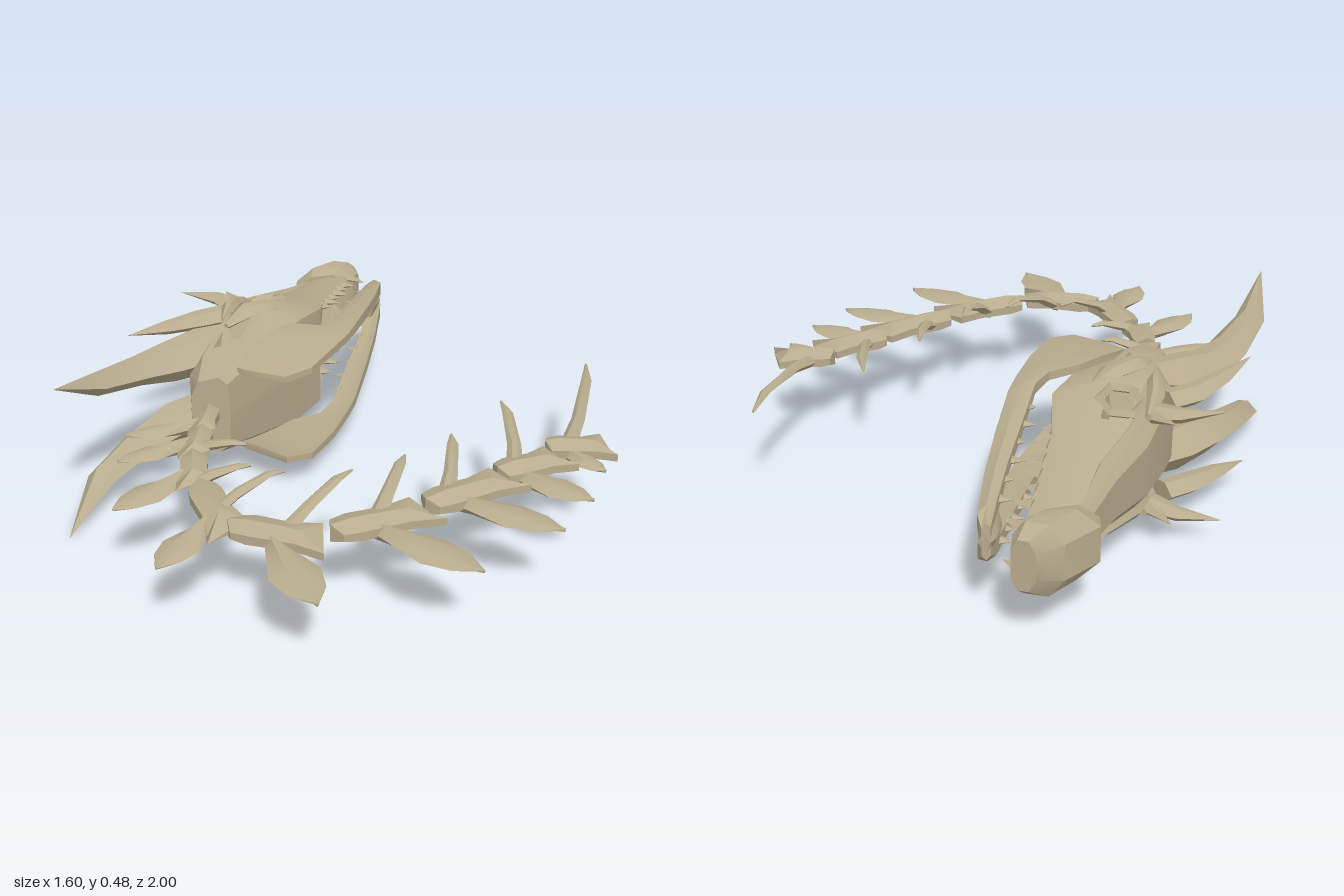
import * as THREE from 'three';
import { mergeGeometries, toCreasedNormals } from 'three/addons/utils/BufferGeometryUtils.js';

const MID = 0.24; // height of the symmetry plane: the skull lies on its side
const bone = new THREE.MeshStandardMaterial({ color: 0xb9ac8e, side: THREE.DoubleSide });
bone.name = 'bone';

// Turns a list of quads / triangles into a geometry with sharp creases
function fromFaces(faces) {
  const pos = [];
  for (const f of faces)
    for (let i = 1; i < f.length - 1; i++) pos.push(...f[0], ...f[i], ...f[i + 1]);
  const g = new THREE.BufferGeometry();
  g.setAttribute('position', new THREE.Float32BufferAttribute(pos, 3));
  return toCreasedNormals(g, 0.55);
}

// A framed opening sunk into a quad, toward the symmetry plane
function socket(q, inset, depth) {
  const c = [0, 1, 2].map(k => q.reduce((s, p) => s + p[k], 0) / 4);
  const rim = q.map(p => p.map((v, k) => c[k] + (v - c[k]) * inset));
  const floor = rim.map(p => [
    c[0] + (p[0] - c[0]) * 0.7, p[1] - Math.sign(p[1] - MID) * depth, c[2] + (p[2] - c[2]) * 0.7]);
  const out = [floor];
  for (let i = 0; i < 4; i++) {
    const j = (i + 1) % 4;
    out.push([q[i], q[j], rim[j], rim[i]], [rim[i], rim[j], floor[j], floor[i]]);
  }
  return out;
}

// Skins a row of closed rings and caps both ends; sockets replace chosen quads
function loft(rings, sockets = {}) {
  const faces = [], n = rings[0].length;
  for (let i = 0; i < rings.length - 1; i++)
    for (let k = 0; k < n; k++) {
      const j = (k + 1) % n;
      const q = [rings[i][k], rings[i][j], rings[i + 1][j], rings[i + 1][k]];
      const s = sockets[`${i},${k}`];
      if (s) faces.push(...socket(q, ...s));
      else faces.push(q);
    }
  faces.push([...rings[0]].reverse(), rings[rings.length - 1]);
  return fromFaces(faces);
}

// Tapered blade along [x, z, h, halfWidth, halfThickness]; h is measured from the symmetry plane
function blade(path, side = 1) {
  const rings = path.map(([x, z, h, w, t], i) => {
    const a = path[Math.max(0, i - 1)], b = path[Math.min(path.length - 1, i + 1)];
    const l = Math.hypot(b[0] - a[0], b[1] - a[1]);
    const nx = -(b[1] - a[1]) / l, nz = (b[0] - a[0]) / l;
    return [[1, 0], [0.3, 1], [-0.35, 0.9], [-1, 0], [-0.35, -0.9], [0.3, -1]].map(
      ([u, v]) => [x + nx * w * u, MID + side * (h + t * v), z + nz * w * u]);
  });
  return loft(rings);
}

// Blade between two points with a width profile; rise lifts it early, bow bends it sideways
function leaf([ax, az], [bx, bz], profile, thick, rise = 0, bow = 0) {
  return blade(profile.map(([s, w]) => {
    const k = bow * Math.sin(Math.PI * s);
    return [mix(ax, bx, s) - (bz - az) * k, mix(az, bz, s) + (bx - ax) * k,
      rise * Math.sin(2 * s), w, Math.max(0.001, thick * (1 - s * 0.8))];
  }));
}

// Mirror-symmetric ring from half points [x, z, h]
const mirrorRing = half => [
  ...half.map(([x, z, h]) => [x, MID + h, z]),
  ...[...half].reverse().map(([x, z, h]) => [x, MID - h, z])];
const mix = (a, b, t) => a + (b - a) * t;

export function createModel() {
  const model = new THREE.Group();
  model.name = 'dragonSkeleton';
  const skull = new THREE.Group(), tail = new THREE.Group();
  skull.name = 'skull';
  tail.name = 'spine';
  model.add(skull, tail);
  const add = (parent, name, geo) => {
    const m = new THREE.Mesh(geo, bone);
    m.name = name;
    parent.add(m);
    return m;
  };
  const pair = (name, path) => {
    add(skull, name + 'Upper', blade(path, 1));
    add(skull, name + 'Lower', blade(path, -1));
  };

  // Cranium: dorsal x,z, mouth x,z, half width, lower side row, palate row (hollow at the mouth)
  const stations = [
    [-0.06, -0.86, 0.095, -0.87, 0.08, 0.6, 0.6],
    [-0.155, -0.70, 0.045, -0.71, 0.11, 0.58, 0.6],
    [-0.265, -0.56, -0.01, -0.54, 0.15, 0.55, 0.65],
    [-0.35, -0.39, -0.03, -0.39, 0.2, 0.54, 1],
    [-0.395, -0.29, -0.10, -0.29, 0.21, 0.6, 1.03],
    [-0.445, -0.10, -0.23, -0.12, 0.165, 0.75, 1.05],
    [-0.44, 0.0, -0.33, 0.01, 0.125, 0.75, 1.05]];
  const skullRings = stations.map(([dx, dz, mx, mz, h, low, roof]) => mirrorRing(
    [[0, 0.5], [0.2, 0.88], [low, 1], [1, 0.82], [roof, 0.1]].map(
      ([t, f]) => [mix(dx, mx, t), mix(dz, mz, t), h * f])));
  const eye = [0.8, 0.07], temple = [0.66, 0.05];
  add(skull, 'cranium', loft(skullRings, { '2,1': eye, '2,7': eye, '4,1': temple, '4,7': temple }));

  // Raised rims around the eye sockets
  for (const s of [1, -1]) {
    const rim = add(skull, s > 0 ? 'eyeRimUpper' : 'eyeRimLower',
      toCreasedNormals(new THREE.TorusGeometry(0.06, 0.015, 4, 6), 0.5));
    rim.position.set(-0.208, MID + s * 0.167, -0.462);
    rim.quaternion.setFromUnitVectors(
      new THREE.Vector3(0, 0, 1), new THREE.Vector3(-0.1, s, -0.3).normalize());
  }

  // Snout tip
  const noseRings = [
    [-0.085, -0.85, 0.09, -0.88, 0.085], [-0.08, -0.91, 0.12, -0.905, 0.1],
    [0.02, -0.985, 0.14, -0.94, 0.1], [0.09, -1.0, 0.148, -0.975, 0.07]
  ].map(([dx, dz, mx, mz, h]) => mirrorRing([[0, 0.5], [0.3, 1], [0.75, 1], [1, 0.6]].map(
    ([t, f]) => [mix(dx, mx, t), mix(dz, mz, t), h * f])));
  add(skull, 'snoutTip', loft(noseRings));

  // Ridges, brows and cheeks
  pair('snoutRidge', [[-0.04, -0.85, 0.06, 0.012, 0.01], [-0.12, -0.70, 0.09, 0.022, 0.018],
    [-0.24, -0.54, 0.13, 0.02, 0.02], [-0.30, -0.44, 0.15, 0.004, 0.005]]);
  pair('brow', [[-0.27, -0.53, 0.145, 0.01, 0.01], [-0.305, -0.45, 0.17, 0.025, 0.02],
    [-0.32, -0.38, 0.185, 0.025, 0.02], [-0.34, -0.30, 0.175, 0.006, 0.01]]);
  pair('cheekBoss', [[-0.13, -0.40, 0.175, 0.01, 0.01], [-0.20, -0.345, 0.2, 0.04, 0.02],
    [-0.27, -0.30, 0.203, 0.045, 0.02], [-0.33, -0.24, 0.18, 0.01, 0.01]]);

  // Horns and spikes, longest at the back
  pair('mainHorn', [[-0.33, -0.25, 0.13, 0.05, 0.05], [-0.42, -0.205, 0.11, 0.085, 0.07],
    [-0.51, -0.15, 0.105, 0.078, 0.06], [-0.605, -0.055, 0.122, 0.064, 0.042],
    [-0.715, 0.095, 0.155, 0.046, 0.032], [-0.797, 0.28, 0.239, 0.001, 0.001]]);
  pair('middleHorn', [[-0.34, -0.42, 0.14, 0.05, 0.03], [-0.42, -0.385, 0.14, 0.05, 0.028],
    [-0.52, -0.31, 0.15, 0.034, 0.02], [-0.63, -0.22, 0.168, 0.001, 0.001]]);
  pair('browSpike', [[-0.30, -0.49, 0.14, 0.05, 0.025], [-0.36, -0.535, 0.15, 0.03, 0.02],
    [-0.475, -0.56, 0.165, 0.001, 0.001]]);
  pair('smallSpike', [[-0.29, -0.51, 0.14, 0.03, 0.02], [-0.33, -0.59, 0.15, 0.001, 0.001]]);

  // Lower jaw sides, open between: wide rear flange narrowing to the chin
  // inner x,z,h, outer x,z,h, half thickness
  const jaw = [
    [-0.30, -0.04, 0.125, -0.25, 0.005, 0.12, 0.008],
    [-0.27, -0.12, 0.155, -0.16, 0.058, 0.135, 0.01],
    [-0.2, -0.19, 0.17, -0.08, 0.02, 0.145, 0.01],
    [-0.13, -0.245, 0.17, -0.005, -0.11, 0.145, 0.012],
    [-0.04, -0.255, 0.155, 0.05, -0.23, 0.135, 0.013],
    [0.005, -0.31, 0.145, 0.08, -0.31, 0.13, 0.015],
    [0.06, -0.48, 0.115, 0.135, -0.5, 0.1, 0.018],
    [0.12, -0.66, 0.087, 0.182, -0.68, 0.072, 0.018],
    [0.165, -0.81, 0.052, 0.215, -0.84, 0.042, 0.022],
    [0.185, -0.868, 0.02, 0.208, -0.868, 0.02, 0.02]];
  for (const s of [1, -1])
    add(skull, s > 0 ? 'jawUpper' : 'jawLower', loft(jaw.map(([ix, iz, ih, ox, oz, oh, t]) =>
      [[0, 1], [0.5, 1.6], [1, 1], [1, -1], [0.5, -0.6], [0, -1]].map(([u, v]) =>
        [mix(ix, ox, u), MID + s * (mix(ih, oh, u) + t * v), mix(iz, oz, u)]))));
  add(skull, 'chin', blade([[0.165, -0.78, 0, 0.018, 0.055], [0.19, -0.84, 0, 0.025, 0.045],
    [0.2, -0.868, 0, 0.015, 0.03]]));

  // Teeth along both jaws
  const teeth = [];
  const tooth = (x, z, h, dx, dz, w) => {
    for (const s of [1, -1])
      teeth.push(blade([[x, z, h, w, 0.012], [x + dx, z + dz, h, 0.001, 0.001]], s));
  };
  for (let i = 0; i < 6; i++) {
    const t = i / 5, len = i % 2 ? 0.03 : 0.045;
    tooth(mix(0.075, -0.015, t), mix(-0.82, -0.52, t), mix(0.07, 0.12, t), len, len * 0.5, 0.026);
    tooth(mix(0.16, 0.04, t), mix(-0.76, -0.38, t), mix(0.06, 0.125, t), -len * 0.9, -len * 0.3, 0.026);
  }
  tooth(0.11, -0.905, 0.06, 0.045, 0.05, 0.025);
  add(skull, 'teeth', mergeGeometries(teeth));

  // Vertebrae: body start, end, half width, fin base, tip, half width, spike base, tip, rise
  const vertebrae = [
    [[-0.38, -0.02], [-0.41, 0.13], 0.035, [-0.41, 0.07], [-0.63, 0.115], 0.04],
    [[-0.405, 0.12], [-0.43, 0.26], 0.04, [-0.43, 0.18], [-0.645, 0.265], 0.045, [-0.42, 0.21], [-0.28, 0.26], 0.04],
    [[-0.43, 0.265], [-0.425, 0.42], 0.045, [-0.44, 0.36], [-0.64, 0.525], 0.055, [-0.42, 0.40], [-0.27, 0.38], 0.04],
    [[-0.41, 0.43], [-0.335, 0.67], 0.055, [-0.38, 0.60], [-0.515, 0.81], 0.055, [-0.37, 0.56], [-0.18, 0.48], 0.08],
    [[-0.335, 0.64], [-0.09, 0.735], 0.06, [-0.23, 0.70], [-0.125, 0.995], 0.07, [-0.19, 0.67], [0.0, 0.49], 0.08],
    [[-0.075, 0.69], [0.195, 0.605], 0.06, [0.04, 0.67], [0.295, 0.885], 0.065, [0.05, 0.63], [0.15, 0.42], 0.08],
    [[0.185, 0.58], [0.44, 0.46], 0.06, [0.27, 0.55], [0.535, 0.715], 0.06, [0.25, 0.53], [0.30, 0.28], 0.06],
    [[0.405, 0.43], [0.605, 0.355], 0.058, [0.46, 0.43], [0.645, 0.575], 0.055, [0.46, 0.41], [0.48, 0.08], 0.055],
    [[0.57, 0.29], [0.755, 0.305], 0.055, [0.62, 0.31], [0.715, 0.425], 0.038, [0.63, 0.30], [0.795, -0.16], 0.05]];
  vertebrae.forEach(([a, b, w, finA, finB, finW, spikeA, spikeB, rise], i) => {
    const l = Math.hypot(b[0] - a[0], b[1] - a[1]);
    const ux = (b[0] - a[0]) / l, uz = (b[1] - a[1]) / l;
    // Arrow body: swallow-tailed at the far end, with the outer prong longer
    const ring = (sOut, sMid, sIn, wide, tall) =>
      [[sOut, 1, -0.4], [sOut, 1, 0.4], [sMid, 0.1, 1], [sIn, -1, 0.4],
        [sIn, -1, -0.4], [sMid, 0.1, -1]].map(([s, v, h]) => [
        a[0] + ux * s * l - uz * v * wide, MID + 0.007 + h * tall, a[1] + uz * s * l + ux * v * wide]);
    add(tail, 'vertebra' + (i + 1), loft([
      ring(0.08, 0.0, 0.06, w * 0.7, 0.026), ring(0.25, 0.22, 0.22, w * 0.85, 0.034),
      ring(0.75, 0.6, 0.6, w * 0.8, 0.03), ring(1.07, 0.76, 0.9, w * 1.12, 0.028)]));
    add(tail, 'fin' + (i + 1), leaf(finA, finB,
      [[0, 0.015], [0.2, finW * 0.5], [0.55, finW], [0.8, finW * 0.72], [1, 0.002]], 0.026));
    if (spikeA) add(tail, 'spike' + (i + 1), leaf(spikeA, spikeB,
      [[0, 0.026], [0.3, 0.02], [0.75, 0.016], [1, 0.004]], 0.02, rise, 0.04));
  });
  return model;
}
